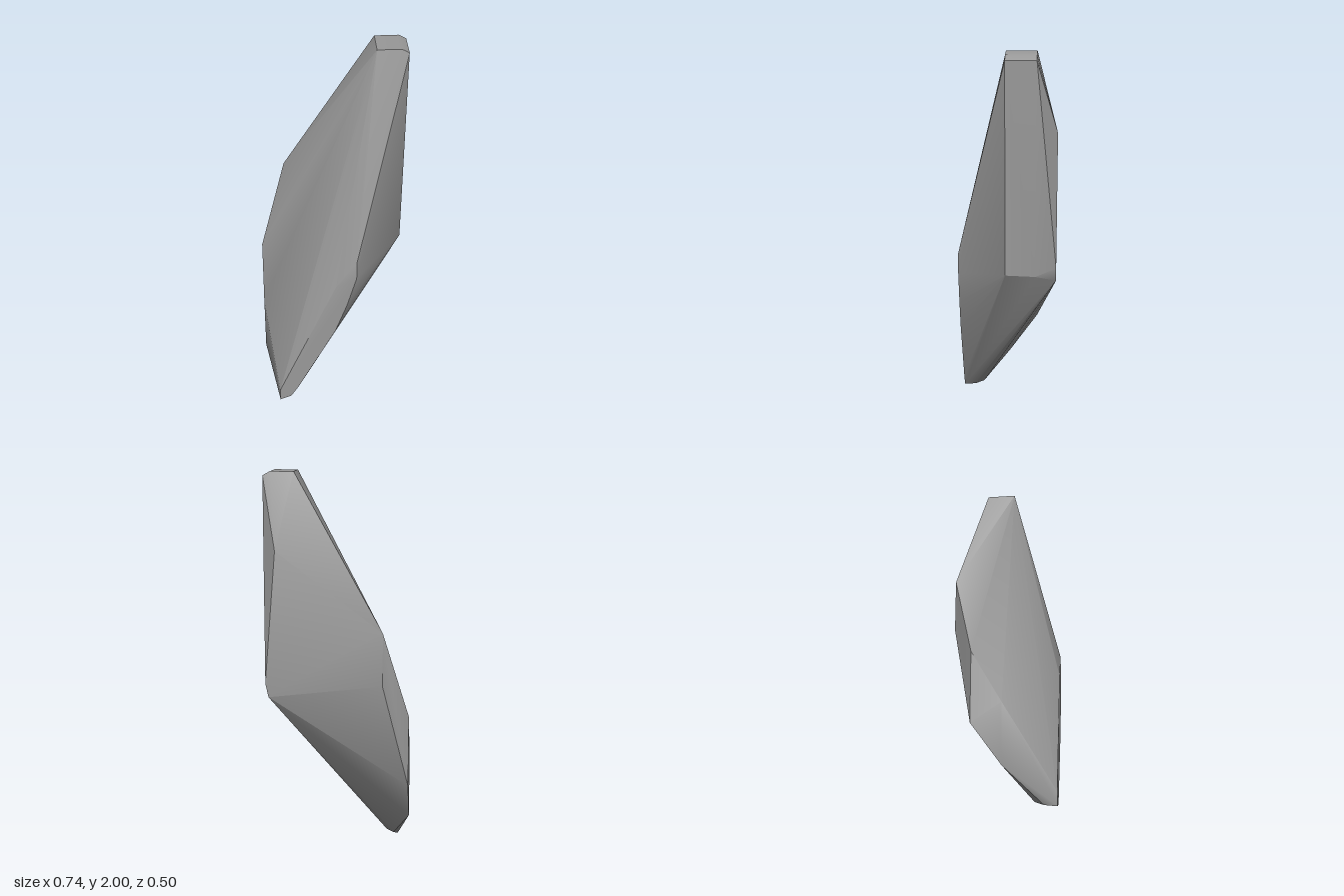
import * as THREE from 'three';
import { ConvexGeometry } from 'three/addons/geometries/ConvexGeometry.js';
import { toCreasedNormals } from 'three/addons/utils/BufferGeometryUtils.js';

const v = (x, y, z) => new THREE.Vector3(x, y, z);

export function createModel() {
  const group = new THREE.Group();
  group.name = 'rockShard';
  const stone = new THREE.MeshStandardMaterial({ color: 0x999999 });
  stone.name = 'stone grey';

  // Narrow cap at the tip, sloping down slightly at its outer edge
  const cap = [0, -0.15].flatMap((z) => [v(0.212, 2, z), v(0.33, 2, z), v(0.367, 1.98, z)]);

  // Slanted facet on the front
  const front = [
    [-0.3, 0], [-0.24, 0.025], [-0.2, 0.09], [0, 0.48], [0.06, 0.65],
    [0.11, 0.83], [0.11, 0.93], [0.005, 0.78], [-0.3, 0.07],
  ].map(([x, y]) => v(x, y, 0.252));

  // Broad facet on the back
  const back = [
    [-0.24, 1.22], [-0.24, 0.95], [0.295, 1.62], [0.35, 0.95], [0.335, 0.88],
  ].map(([x, y]) => v(x, y, -0.252));

  // Upright edges on the two sides
  const sides = [
    v(-0.369, 0.77, -0.15), v(-0.369, 0.4, -0.15),
    v(-0.369, 0.5, 0), v(-0.369, 0.185, 0),
    v(0.354, 0.91, 0), v(0.354, 0.905, -0.15),
  ];

  // Rounded foot
  const foot = [v(-0.3, 0.008, 0.19), v(-0.28, 0.03, 0.145), v(-0.24, 0.03, 0.19)];

  const hull = new ConvexGeometry([...cap, ...front, ...back, ...sides, ...foot]);
  const shard = new THREE.Mesh(toCreasedNormals(hull, THREE.MathUtils.degToRad(32)), stone);
  shard.name = 'shard';
  group.add(shard);
  return group;
}
